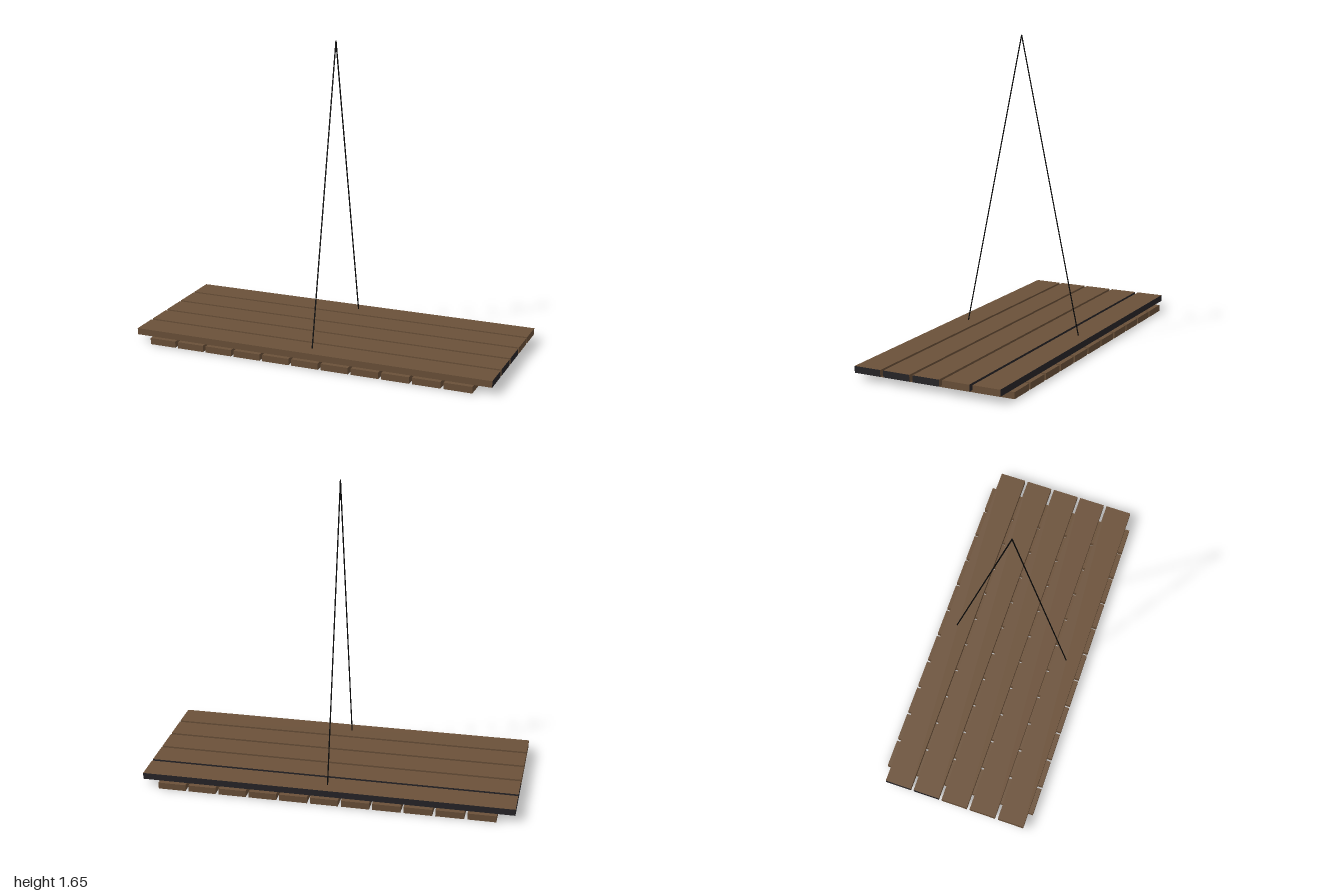
import * as THREE from 'three';

export function createModel() {
  const model = new THREE.Group();
  const wood = new THREE.MeshStandardMaterial({ color: 0x6b5139 });
  wood.name = 'brown wood';
  const dark = new THREE.MeshStandardMaterial({ color: 0x272528 });
  dark.name = 'dark stained wood';
  const cord = new THREE.MeshStandardMaterial({ color: 0x080808 });
  cord.name = 'black rope';

  function add(name, geometry, material, x, y, z) {
    const mesh = new THREE.Mesh(geometry, material);
    mesh.name = name;
    mesh.position.set(x, y, z);
    model.add(mesh);
    return mesh;
  }

  const pitch = 0.1663;
  const thickness = 0.035;

  // Lower layer: eleven short cross slats
  const slat = new THREE.BoxGeometry(0.15, thickness, 0.866);
  for (let i = -5; i <= 5; i++) add('crossSlat', slat, wood, i * pitch, thickness / 2, 0);

  // Upper layer: five long deck planks, stained dark on some edges
  // (face order: left end, right end, top, bottom, front edge, back edge)
  const plank = new THREE.BoxGeometry(2, thickness, 0.149);
  const frontFaces = [dark, wood, wood, wood, wood, wood];
  const backFaces = [wood, dark, wood, wood, wood, dark];
  for (let i = -2; i <= 2; i++) {
    add('deckPlank', plank, i < 0 ? backFaces : frontFaces, 0, thickness * 1.5, i * pitch);
  }

  // Two ropes rising from the deck to a shared hanging point
  const apex = new THREE.Vector3(0, 1.645, 0);
  const up = new THREE.Vector3(0, 1, 0);
  for (const [name, z] of [['frontRope', 0.33], ['backRope', -0.338]]) {
    const foot = new THREE.Vector3(0, 0.07, z);
    const run = apex.clone().sub(foot);
    const middle = foot.clone().add(apex).multiplyScalar(0.5);
    const rope = add(name, new THREE.CylinderGeometry(0.0035, 0.0035, run.length(), 6), cord, 0, middle.y, middle.z);
    rope.quaternion.setFromUnitVectors(up, run.normalize());
  }

  return model;
}
